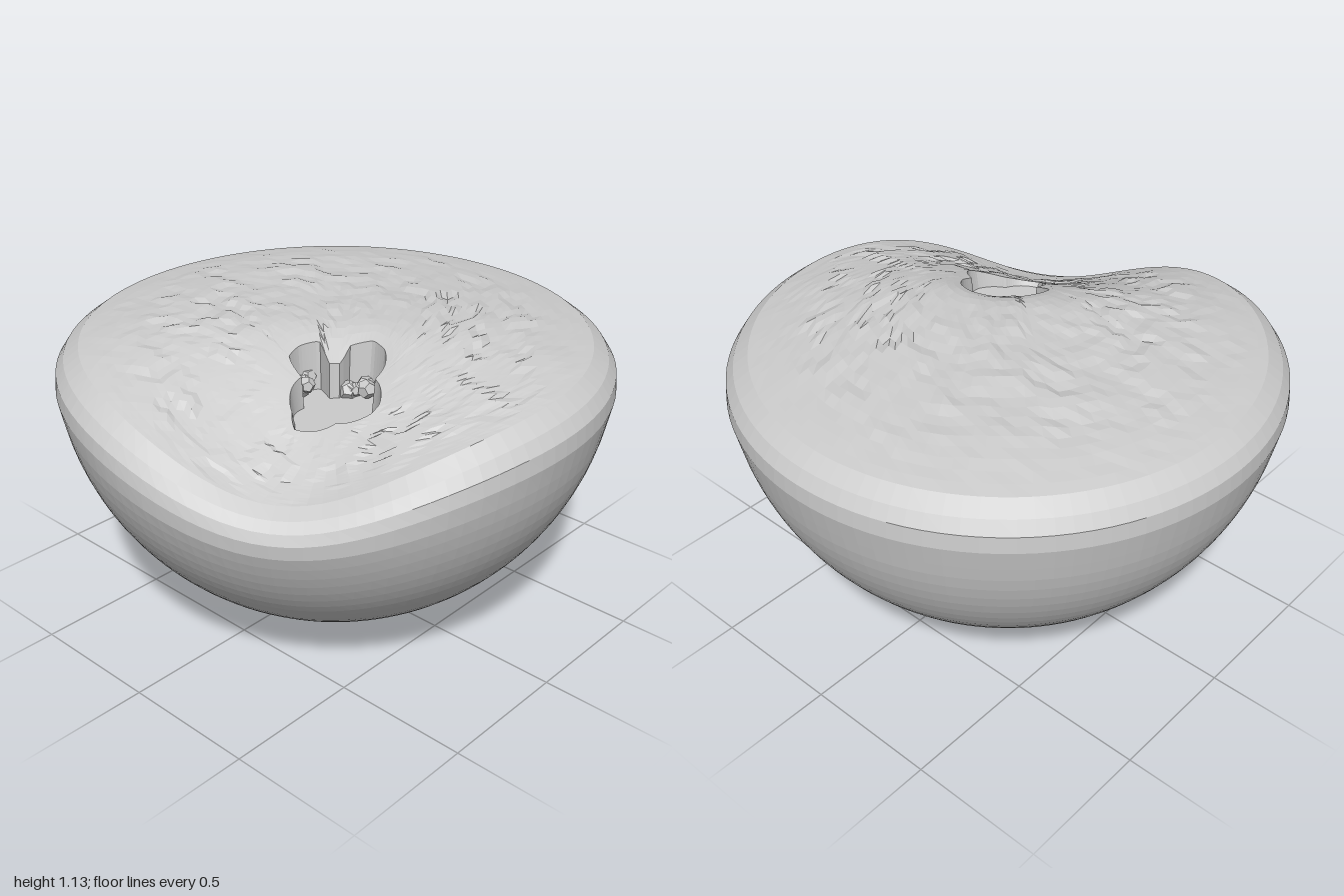
import * as THREE from 'three';

const SEG = 108;
const POCKET = { x: 0.28, z: 0.32, floor: 0.91 };
// jagged outline of the pocket (x, z), stored as angle and radius
const OUTLINE = [
  [0.46, 0.33], [0.38, 0.41], [0.28, 0.5], [0.23, 0.46], [0.17, 0.4], [0.16, 0.34],
  [0.07, 0.31], [0.06, 0.25], [0.09, 0.18], [0.17, 0.22], [0.2, 0.19], [0.18, 0.12],
  [0.24, 0.07], [0.31, 0.09], [0.36, 0.15], [0.37, 0.21], [0.46, 0.29],
].map(([x, z]) => {
  const dx = x - POCKET.x, dz = z - POCKET.z;
  return [(Math.atan2(dz, dx) + Math.PI * 2) % (Math.PI * 2), Math.hypot(dx, dz)];
}).sort((a, b) => a[0] - b[0]);

const { lerp, smoothstep } = THREE.MathUtils;
const bell = (q) => Math.exp(-q * q);

function hash(i, j) {
  const s = Math.sin(i * 127.1 + j * 311.7) * 43758.5453;
  return s - Math.floor(s);
}

// radius of the pocket in direction t
function pocketRadius(t) {
  const u = t < OUTLINE[0][0] ? t + Math.PI * 2 : t;
  let i = OUTLINE.length - 1;
  while (OUTLINE[i][0] > u) i--;
  const a = OUTLINE[i], b = OUTLINE[(i + 1) % OUTLINE.length];
  const end = b[0] < a[0] ? b[0] + Math.PI * 2 : b[0];
  return lerp(a[1], b[1], (u - a[0]) / (end - a[0]));
}

// rough ground: gentle dome, a ridge, a front-left slump and a dent by the pocket
function ground(x, z) {
  const r = Math.hypot(x, z);
  const u = x * 0.5 + z * 0.866, v = x * 0.866 - z * 0.5;
  const slump = 0.26 * smoothstep(u, 0.1, 0.9) * bell(v / 0.5);
  const ridge = 0.022 * bell(Math.hypot(x - 0.3, z + 0.2) / 0.28);
  const dent = 0.05 * bell(Math.hypot(x - 0.22, z - 0.2) / 0.126);
  return 1.11 - 0.085 * r ** 3 + ridge - slump - dent;
}

// one vertical section from the bottom pole over the rim into the pocket
function section(k) {
  const t = (k / SEG) * Math.PI * 2, c = Math.cos(t), s = Math.sin(t);
  // d is 1 where the rim has slumped, 0 elsewhere
  const d = bell(((t - Math.PI / 3 + Math.PI * 3) % (Math.PI * 2) - Math.PI) / 0.58);
  const pts = [];
  const add = (r, y) => pts.push(c * r, y, s * r);

  // spherical bowl
  const span = Math.acos(1 - lerp(0.82, 0.66, d));
  for (let i = 0; i <= 24; i++) {
    const a = (span * i) / 24;
    add(Math.sin(a), 1 - Math.cos(a));
  }
  // rounded rim
  add(lerp(1, 0.945, d), lerp(0.9, 0.71, d));
  add(lerp(0.995, 0.93, d), lerp(0.96, 0.745, d));
  add(lerp(0.965, 0.9, d), lerp(1.005, 0.775, d));
  const edge = lerp(0.91, 0.85, d);
  add(edge, ground(c * edge, s * edge));

  // ground from the rim inward to the pocket edge
  const pr = pocketRadius(t), px = POCKET.x + c * pr, pz = POCKET.z + s * pr;
  const rings = 24;
  for (let i = 1; i <= rings; i++) {
    const f = i / rings;
    const x = lerp(c * edge, px, f), z = lerp(s * edge, pz, f);
    // blocky noise makes short terraces
    const n = hash(Math.floor(x * 13), Math.floor(z * 17)) - 0.5;
    pts.push(x, ground(x, z) + 0.016 * Math.sin(Math.PI * f) * n, z);
  }
  // pocket wall and floor
  for (const f of [0.93, 0.5, 0]) {
    pts.push(lerp(POCKET.x, px, f), POCKET.floor, lerp(POCKET.z, pz, f));
  }
  return pts;
}

function bodyGeometry() {
  const pos = [], index = [];
  for (let k = 0; k < SEG; k++) pos.push(...section(k));
  const rows = pos.length / 3 / SEG;
  for (let k = 0; k < SEG; k++) {
    for (let i = 0; i < rows - 1; i++) {
      const a = k * rows + i, b = ((k + 1) % SEG) * rows + i;
      // single triangles at the bottom pole and the floor centre
      if (i < rows - 2) index.push(a, a + 1, b + 1);
      if (i > 0 && i < rows - 2) index.push(a, b + 1, b);
      if (i === rows - 2) index.push(a, a + 1, b);
    }
  }
  const g = new THREE.BufferGeometry();
  g.setAttribute('position', new THREE.Float32BufferAttribute(pos, 3));
  g.setIndex(index);
  g.computeVertexNormals();
  return g;
}

export function createModel() {
  const group = new THREE.Group();
  group.name = 'halfRoundRock';
  const material = new THREE.MeshStandardMaterial({ color: 0xcccccc, flatShading: true });

  const body = new THREE.Mesh(bodyGeometry(), material);
  body.name = 'rockBody';
  group.add(body);

  // broken lumps in the two niches behind the pocket
  const rubble = new THREE.Group();
  rubble.name = 'rubble';
  const lump = new THREE.DodecahedronGeometry(1, 0);
  [[0.25, 0.13], [0.1, 0.25]].forEach(([x, z], n) => {
    for (let i = 0; i < 6; i++) {
      const m = new THREE.Mesh(lump, material);
      m.name = 'rubbleLump';
      m.scale.setScalar(0.022 + 0.016 * hash(i, n));
      m.position.set(
        x + 0.09 * (hash(i, n + 3) - 0.5),
        0.93 + 0.03 * hash(i, n + 5),
        z + 0.07 * (hash(i, n + 7) - 0.5),
      );
      m.rotation.set(i, i * 2.1, n + i * 0.7);
      rubble.add(m);
    }
  });
  group.add(rubble);
  return group;
}
